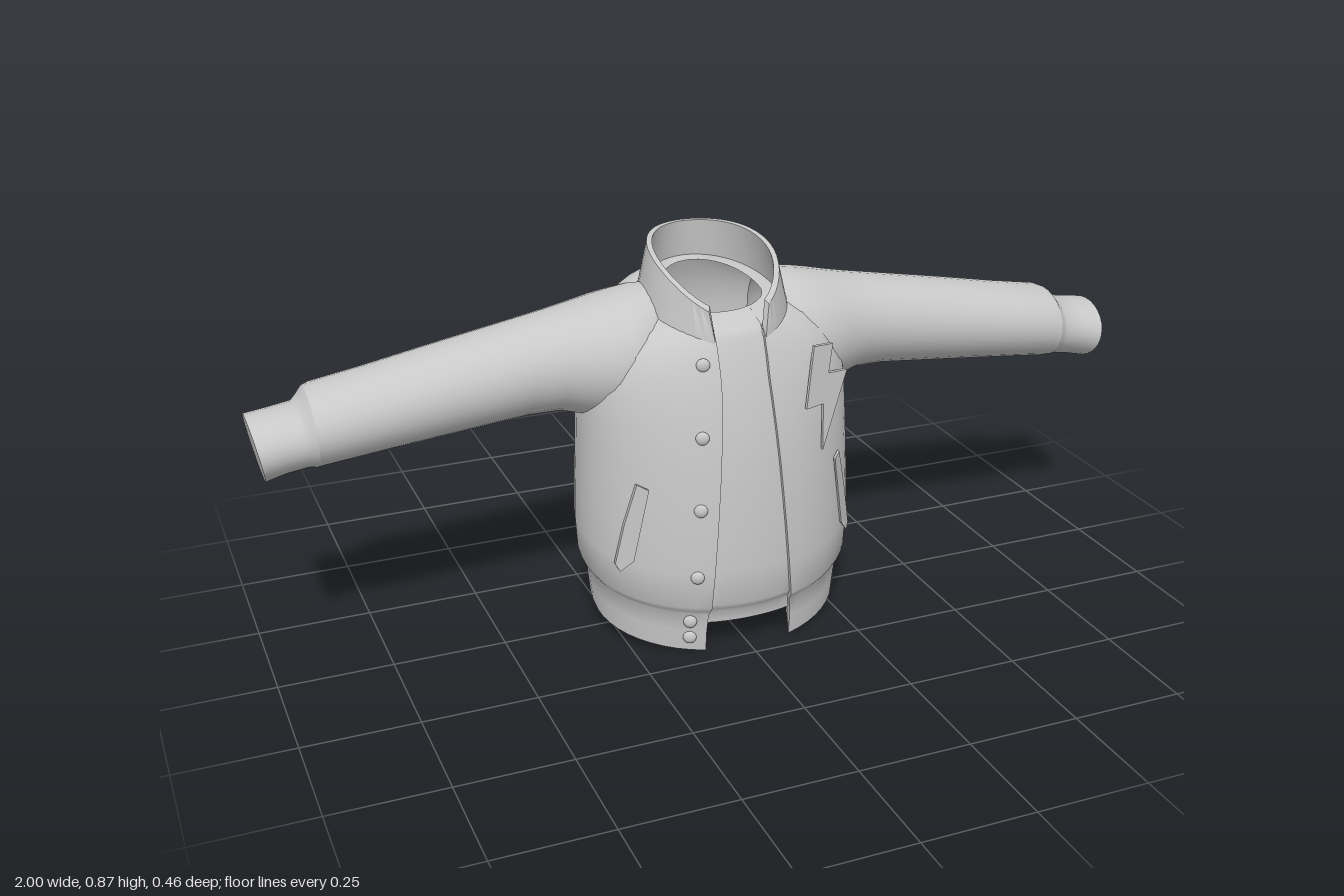
import * as THREE from 'three';
import { toCreasedNormals } from 'three/addons/utils/BufferGeometryUtils.js';

const TILT = 0.23; // every level of the body drops towards the front
// level height, half width, front depth, back depth
const LEVELS = [
  [0.05, 0.285, 0.215, 0.212], [0.10, 0.29, 0.22, 0.215], [0.145, 0.293, 0.222, 0.217],
  [0.157, 0.302, 0.23, 0.226], [0.17, 0.311, 0.236, 0.233], [0.25, 0.316, 0.236, 0.232],
  [0.33, 0.314, 0.233, 0.226], [0.40, 0.311, 0.228, 0.222], [0.48, 0.308, 0.221, 0.222],
  [0.55, 0.305, 0.211, 0.226], [0.61, 0.300, 0.199, 0.226], [0.66, 0.287, 0.186, 0.219],
  [0.70, 0.26, 0.173, 0.206], [0.735, 0.205, 0.16, 0.193], [0.752, 0.155, 0.15, 0.185],
  [0.757, 0.11, 0.075, 0.145],
];

// Skin a list of closed rings of [x, y, z] points
function loft(rings, crease = 0.9) {
  const n = rings[0].length, index = [];
  for (let i = 0; i + 1 < rings.length; i++) {
    for (let j = 0; j < n; j++) {
      const a = i * n + j, b = i * n + (j + 1) % n;
      index.push(a, b, b + n, a, b + n, a + n);
    }
  }
  const g = new THREE.BufferGeometry();
  g.setAttribute('position', new THREE.Float32BufferAttribute(rings.flat(2), 3));
  g.setIndex(index);
  return toCreasedNormals(g, crease);
}

// Body ring: a recessed front panel between the flaps, then the outer shell
function bodyRing([yc, w, zf, zb], isNeck) {
  const half = THREE.MathUtils.lerp(0.1, 0.055, Math.min(1, Math.max(0, (yc - 0.1) / 0.55)));
  const a = Math.asin(half / w), ring = [];
  const add = (t, inset) => {
    const c = Math.cos(t);
    const z = (c > 0 ? c * zf : -zb * (isNeck ? -c : (-c) ** 0.8)) - inset;
    const y = yc - TILT * z;
    ring.push([w * Math.sin(t), inset ? Math.max(y, 0.07) : y, z]);
  };
  for (let i = 0; i <= 8; i++) add(-a + 2 * a * i / 8, isNeck ? 0 : 0.01);
  for (let i = 0; i <= 48; i++) add(a + (2 * Math.PI - 2 * a) * i / 48, 0);
  return ring;
}

// Depth of the body's front surface at x, y
function frontZ(x, y) {
  let z = 0.2;
  for (let k = 0; k < 8; k++) {
    const yc = y + TILT * z;
    let i = 0;
    while (i < LEVELS.length - 2 && LEVELS[i + 1][0] < yc) i++;
    const [p, q] = [LEVELS[i], LEVELS[i + 1]];
    const f = THREE.MathUtils.clamp((yc - p[0]) / (q[0] - p[0]), 0, 1);
    const w = p[1] + (q[1] - p[1]) * f, d = p[2] + (q[2] - p[2]) * f;
    z = d * Math.sqrt(Math.max(0.02, 1 - (x / w) ** 2));
  }
  return z;
}

// Flat plate lying in the plane that touches the body's front at x0, y0
function patch(points, x0, y0) {
  const shape = new THREE.Shape(points.map(([x, y]) => new THREE.Vector2(x, y)));
  const g = new THREE.ExtrudeGeometry(shape, { depth: 0.009, bevelEnabled: false });
  const e = 0.03, z0 = frontZ(x0, y0);
  const gx = (frontZ(x0 + e, y0) - frontZ(x0 - e, y0)) / (2 * e);
  const gy = (frontZ(x0, y0 + e) - frontZ(x0, y0 - e)) / (2 * e);
  const p = g.attributes.position;
  for (let i = 0; i < p.count; i++) {
    p.setZ(i, p.getZ(i) + z0 + gx * (p.getX(i) - x0) + gy * (p.getY(i) - y0));
  }
  g.computeVertexNormals();
  return g;
}

// Sleeve sections: x, top, bottom, back z, front z
const SLEEVE = [
  [0.145, 0.786, 0.54, -0.15, 0.08], [0.17, 0.786, 0.51, -0.172, 0.1], [0.21, 0.779, 0.495, -0.184, 0.106],
  [0.25, 0.770, 0.50, -0.187, 0.1], [0.3, 0.757, 0.513, -0.181, 0.08], [0.35, 0.746, 0.526, -0.172, 0.062],
  [0.42, 0.733, 0.525, -0.166, 0.052], [0.6, 0.70, 0.507, -0.164, 0.048], [0.75, 0.671, 0.492, -0.164, 0.047],
  [0.86, 0.652, 0.481, -0.165, 0.046], [0.877, 0.645, 0.479, -0.163, 0.044],
];
const CUFF = [
  [0.877, 0.645, 0.479, -0.163, 0.044], [0.889, 0.63, 0.48, -0.155, 0.037], [0.901, 0.617, 0.481, -0.149, 0.031],
  [0.95, 0.609, 0.475, -0.149, 0.031], [1, 0.602, 0.465, -0.153, 0.037],
];
function sleeveRings(sections, side) {
  return sections.map(([x, top, bottom, zb, zf]) => {
    const lean = x > 0.8 ? 0.012 * (x - 0.8) / 0.2 : 0;
    return Array.from({ length: 28 }, (_, j) => {
      const t = j / 28 * Math.PI * 2;
      return [side * (x + lean * (Math.cos(t) - 1)),
        (top + bottom) / 2 + (top - bottom) / 2 * Math.cos(t),
        (zb + zf) / 2 + side * (zf - zb) / 2 * Math.sin(t)];
    });
  });
}

// Standing collar, swept around the neck and open at the front
function collarGeometry() {
  const rings = [], steps = 44;
  const point = (f, top, inset) => {
    const start = top ? 0.52 : 0.36;
    const t = start + (2 * Math.PI - 2 * start) * f, c = Math.cos(t);
    const w = (top ? 0.137 : 0.163) - inset;
    const z = c * ((c > 0 ? 0.165 : (top ? 0.177 : 0.19)) - inset);
    const y = top ? 0.849 - 0.3 * z - 0.85 * z * z - Math.max(z, 0) ** 2 : 0.737 - 0.25 * z;
    return [w * Math.sin(t), y, z];
  };
  for (let i = 0; i <= steps; i++) {
    const f = i / steps;
    rings.push([point(f, true, 0), point(f, false, 0), point(f, false, 0.014), point(f, true, 0.012)]);
  }
  const close = (r) => {
    const m = [0, 1, 2].map((k) => r.reduce((s, p) => s + p[k] / 4, 0));
    return r.map(() => m);
  };
  return loft([close(rings[0]), ...rings, close(rings[steps])]);
}

export function createModel() {
  const jacket = new THREE.Group();
  jacket.name = 'jacket';
  const cloth = new THREE.MeshStandardMaterial({ color: 0xc8c8c8, side: THREE.DoubleSide });
  cloth.name = 'grey cloth';
  const add = (name, geometry) => {
    const mesh = new THREE.Mesh(geometry, cloth);
    mesh.name = name;
    jacket.add(mesh);
    return mesh;
  };

  // Torso with its waistband
  const rings = LEVELS.map((l, i) => bodyRing(l, i === LEVELS.length - 1));
  add('torso', loft(rings));

  // Hollow underside: a short inner rim rising to a cone
  const hem = rings[0];
  const rim = hem.map(([x, y, z]) => [x * 0.96, Math.max(y + 0.05, 0.07), z * 0.96]);
  add('lining', loft([hem.map(() => [0, 0.21, 0.04]), rim, hem], 1.2));

  add('collar', collarGeometry());

  // Sleeves with closed cuffs
  for (const side of [1, -1]) {
    const label = side > 0 ? 'left' : 'right';
    add(label + 'Sleeve', loft(sleeveRings(SLEEVE, side)));
    const cuff = sleeveRings(CUFF, side);
    cuff.push(cuff[cuff.length - 1].map(() => [side * 0.988, 0.5335, -0.058]));
    add(label + 'Cuff', loft(cuff));

    // Slanted pocket welts
    const welt = [[0.238, 0.408], [0.218, 0.4], [0.248, 0.23], [0.272, 0.2], [0.28, 0.215], [0.262, 0.31]];
    add(label + 'Pocket', patch(welt.map(([x, y]) => [side * x, y]), side * 0.25, 0.31));
  }

  // Zigzag chest patch
  add('chestPatch', patch([[0.17, 0.663], [0.23, 0.652], [0.21, 0.594], [0.27, 0.583],
    [0.176, 0.438], [0.187, 0.535], [0.134, 0.54]], 0.195, 0.56));

  // Snap buttons down the right flap
  for (const [x, y] of [[-0.09, 0.66], [-0.105, 0.51], [-0.115, 0.35], [-0.125, 0.195], [-0.135, 0.08], [-0.135, 0.04]]) {
    const button = add('button', new THREE.SphereGeometry(0.015, 16, 10));
    button.scale.z = 0.6;
    button.position.set(x, y, frontZ(x, y));
    button.rotation.y = x * 3;
  }
  return jacket;
}
